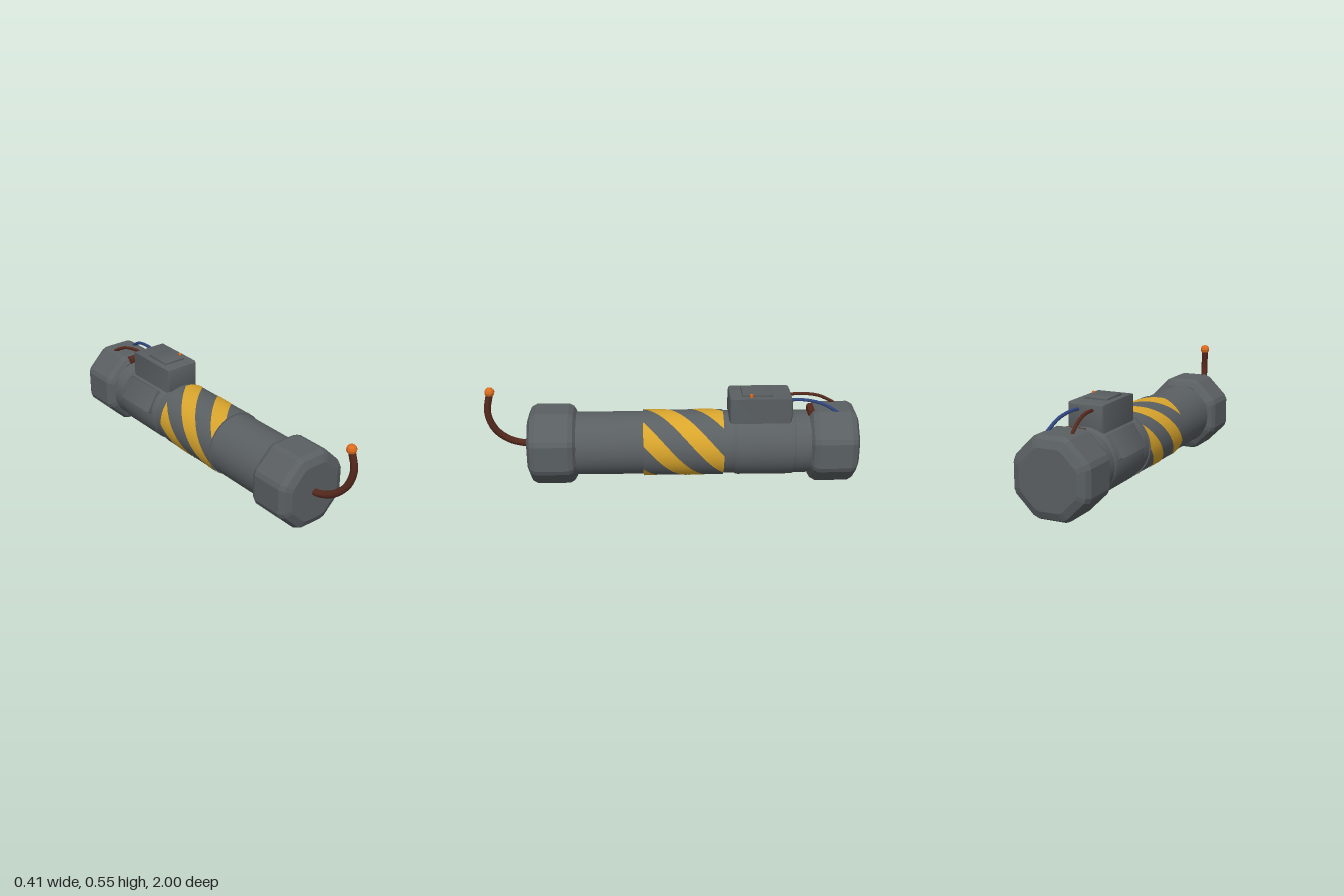
import * as THREE from 'three';
import { toCreasedNormals } from 'three/addons/utils/BufferGeometryUtils.js';

const V = (x, y, z) => new THREE.Vector3(x, y, z);
const AXIS_Y = 0.205; // height of the tube's axis

function material(name, color) {
  const m = new THREE.MeshStandardMaterial({ color });
  m.name = name;
  return m;
}

// Surface from rows x cols quads; point(i, j) gives each corner
function gridSurface(rows, cols, point) {
  const pos = [], index = [], w = cols + 1;
  for (let i = 0; i <= rows; i++)
    for (let j = 0; j <= cols; j++) pos.push(...point(i, j));
  for (let i = 0; i < rows; i++)
    for (let j = 0; j < cols; j++) {
      const a = i * w + j, b = a + 1, c = a + w + 1, d = a + w;
      index.push(a, b, c, a, c, d);
    }
  const g = new THREE.BufferGeometry();
  g.setAttribute('position', new THREE.Float32BufferAttribute(pos, 3));
  g.setIndex(index);
  g.computeVertexNormals();
  return g;
}

// Octagonal cap with chamfered corners and rounded rims
function capGeometry() {
  const rings = [[0.515, 0], [0.515, 0.168], [0.53, 0.192], [0.555, 0.205],
    [0.73, 0.205], [0.758, 0.19], [0.775, 0.152], [0.775, 0]];
  const outline = [];
  for (let k = 0; k < 8; k++) {
    const a = k * Math.PI / 4, c = Math.cos(a), s = Math.sin(a);
    for (const t of [-0.34, 0.34]) outline.push([c - s * t, s + c * t]);
  }
  const g = gridSurface(rings.length - 1, 16, (i, j) => {
    const [z, r] = rings[i], [x, y] = outline[j % 16];
    return [x * r, y * r, z];
  }).toNonIndexed();
  g.computeVertexNormals();
  return g;
}

// Box with bevelled edges, centred on the origin
function bevelBox(w, h, d, b) {
  const x = w / 2 - b, y = h / 2 - b;
  const s = new THREE.Shape([[-x, -y], [x, -y], [x, y], [-x, y]].map(p => new THREE.Vector2(...p)));
  const g = new THREE.ExtrudeGeometry(s, {
    depth: d - 2 * b, bevelEnabled: true, bevelThickness: b, bevelSize: b, bevelSegments: 2,
  });
  g.translate(0, 0, -d / 2 + b);
  return toCreasedNormals(g, 0.6);
}

function tube(points, r, segments = 24, sides = 10) {
  return new THREE.TubeGeometry(new THREE.CatmullRomCurve3(points), segments, r, sides);
}

export function createModel() {
  const model = new THREE.Group();
  model.name = 'pipeDevice';
  const grey = material('gunmetal', 0x5a5f62);
  const yellow = material('hazardYellow', 0xd9a52c);
  const brown = material('fuseBrown', 0x56291d);
  const orange = material('emberOrange', 0xdc6c1e);
  const blue = material('wireBlue', 0x30467f);

  function add(name, geometry, mat, x = 0, y = 0, z = 0) {
    const mesh = new THREE.Mesh(geometry, mat);
    mesh.name = name;
    mesh.position.set(x, y, z);
    model.add(mesh);
    return mesh;
  }

  // Round body with a raised band and a raised sleeve
  const profile = [[0.171, -0.76], [0.171, -0.662], [0.175, -0.655], [0.178, -0.64],
    [0.178, -0.355], [0.174, -0.34], [0.171, -0.335], [0.171, -0.275], [0.178, -0.275],
    [0.178, 0.155], [0.171, 0.155], [0.171, 0.53]];
  const body = new THREE.LatheGeometry(profile.map(p => new THREE.Vector2(...p)), 48);
  body.rotateX(Math.PI / 2);
  add('body', toCreasedNormals(body, 0.5), grey, 0, AXIS_Y, 0);

  // Spiral warning stripes
  const bandFront = 0.155, bandLength = 0.43, twist = 6.17;
  for (let k = 0; k < 4; k++) {
    const start = THREE.MathUtils.degToRad(28 + 90 * k), width = THREE.MathUtils.degToRad(43);
    const g = gridSurface(24, 8, (i, j) => {
      const u = bandLength * i / 24, phi = start + width * j / 8 + twist * u;
      return [0.1805 * Math.sin(phi), 0.1805 * Math.cos(phi), bandFront - u];
    });
    add('warningStripe' + (k + 1), g, yellow, 0, AXIS_Y, 0);
  }

  // End caps
  add('frontCap', capGeometry(), grey, 0, AXIS_Y, 0);
  add('backCap', capGeometry(), grey, 0, AXIS_Y, -0.225).rotation.y = Math.PI;

  // Control box with lid plate and indicator
  add('controlBox', bevelBox(0.198, 0.14, 0.336, 0.016), grey, 0, 0.425, -0.472);
  add('lidPlate', bevelBox(0.13, 0.02, 0.158, 0.004), grey, 0, 0.495, -0.452);
  add('indicator', new THREE.CylinderGeometry(0.01, 0.01, 0.025, 8), orange, 0.07, 0.498, -0.42);

  // Tilted plate on the right flank
  const tilt = Math.PI / 6;
  add('sidePlate', bevelBox(0.05, 0.135, 0.262, 0.006), grey,
    -0.165 * Math.cos(tilt), AXIS_Y + 0.165 * Math.sin(tilt), -0.5).rotation.z = -tilt;

  // Wires from the box to the back cap
  for (const [name, mat, s] of [['blueWire', blue, 1], ['brownWire', brown, -1]])
    add(name, tube([V(s * 0.038, 0.465, -0.62), V(s * 0.043, 0.468, -0.7),
      V(s * 0.055, 0.45, -0.8), V(s * 0.068, 0.395, -0.9)], 0.009, 20, 8), mat);

  // Terminal on the inner rim of the back cap
  add('terminal', bevelBox(0.1, 0.06, 0.05, 0.012), brown, -0.008, 0.373, -0.757);

  // Curved fuse and its glowing tip
  add('fuse', tube([V(-0.002, 0.207, 0.76), V(0, 0.21, 0.8), V(0.014, 0.24, 0.88), V(0.033, 0.31, 0.95),
    V(0.041, 0.41, 0.982), V(0.034, 0.515, 0.966)], 0.019), brown);
  const tip = new THREE.SphereGeometry(0.027, 10, 6).toNonIndexed();
  tip.computeVertexNormals();
  add('fuseTip', tip, orange, 0.033, 0.523, 0.965);

  return model;
}
